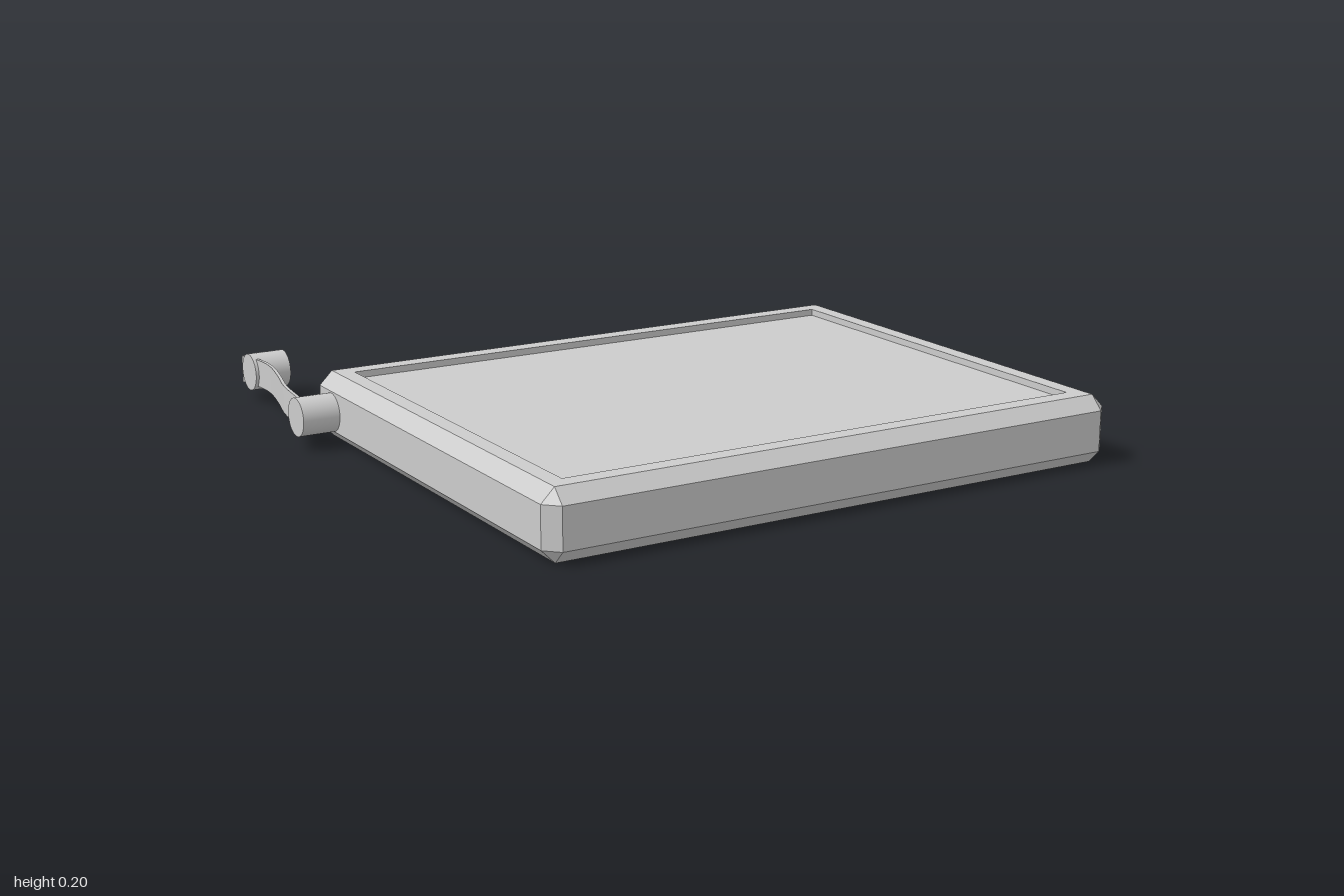
import * as THREE from 'three';
import { toCreasedNormals } from 'three/addons/utils/BufferGeometryUtils.js';

const material = new THREE.MeshStandardMaterial({ color: 0xcccccc });

// Skins a stack of equal-length loops and caps both ends.
function loft(loops) {
  const pos = [];
  const tri = (a, b, c) => {
    const area = b.clone().sub(a).cross(c.clone().sub(a)).length();
    if (area > 1e-8) for (const p of [a, b, c]) pos.push(p.x, p.y, p.z);
  };
  for (let k = 0; k < loops.length - 1; k++) {
    const a = loops[k], b = loops[k + 1], n = a.length;
    for (let i = 0; i < n; i++) {
      const j = (i + 1) % n;
      tri(a[i], a[j], b[j]);
      tri(a[i], b[j], b[i]);
    }
  }
  const first = loops[0], last = loops[loops.length - 1];
  for (let i = 1; i < first.length - 1; i++) {
    tri(first[0], first[i + 1], first[i]);
    tri(last[0], last[i], last[i + 1]);
  }
  const geometry = new THREE.BufferGeometry();
  geometry.setAttribute('position', new THREE.Float32BufferAttribute(pos, 3));
  return toCreasedNormals(geometry, 0.5);
}

// Horizontal rectangle with corners cut by c (c = 0 gives doubled corners).
function cutRect(w, d, c, y) {
  return [
    [c - w, d], [w - c, d], [w, d - c], [w, c - d],
    [w - c, -d], [c - w, -d], [-w, c - d], [-w, d - c],
  ].map(([x, z]) => new THREE.Vector3(x, y, z));
}

function addMesh(group, name, geometry, x = 0, y = 0, z = 0) {
  const mesh = new THREE.Mesh(geometry, material);
  mesh.name = name;
  mesh.position.set(x, y, z);
  group.add(mesh);
  return mesh;
}

export function createModel() {
  const group = new THREE.Group();
  group.name = 'tabletWithTether';

  // Chamfered slab with a shallow recess in the top
  const W = 0.915, D = 0.725, H = 0.2, C = 0.04;
  addMesh(group, 'tabletBody', loft([
    cutRect(W - C, D - C, 0, 0),
    cutRect(W, D, C, C),
    cutRect(W, D, C, H - C),
    cutRect(W - C, D - C, 0, H),
    cutRect(0.825, 0.632, 0, H),
    cutRect(0.825, 0.632, 0, H - 0.02),
  ]), 0.055, 0, 0.275);

  // Side peg and loose end peg, both lying along x
  const peg = (length) => new THREE.CylinderGeometry(0.058, 0.058, length, 32).rotateZ(Math.PI / 2);
  addMesh(group, 'sidePeg', peg(0.12), -0.914, 0.097, -0.325);
  addMesh(group, 'endPeg', peg(0.116), -0.822, 0.09, -0.928);

  // Thin S-curved strap joining the pegs
  const path = new THREE.CatmullRomCurve3([
    [-0.945, 0.1, -0.365], [-0.933, 0.105, -0.5], [-0.91, 0.109, -0.6],
    [-0.877, 0.105, -0.75], [-0.865, 0.096, -0.87], [-0.87, 0.085, -1],
  ].map((p) => new THREE.Vector3(...p)));
  const halfThick = 0.005, halfWide = 0.043;
  const loops = path.getSpacedPoints(24).map((p) =>
    [[1, -1], [-1, -1], [-1, 1], [1, 1]].map(([sx, sy]) =>
      new THREE.Vector3(p.x + sx * halfThick, p.y + sy * halfWide, p.z)));
  addMesh(group, 'strap', loft(loops));

  return group;
}
